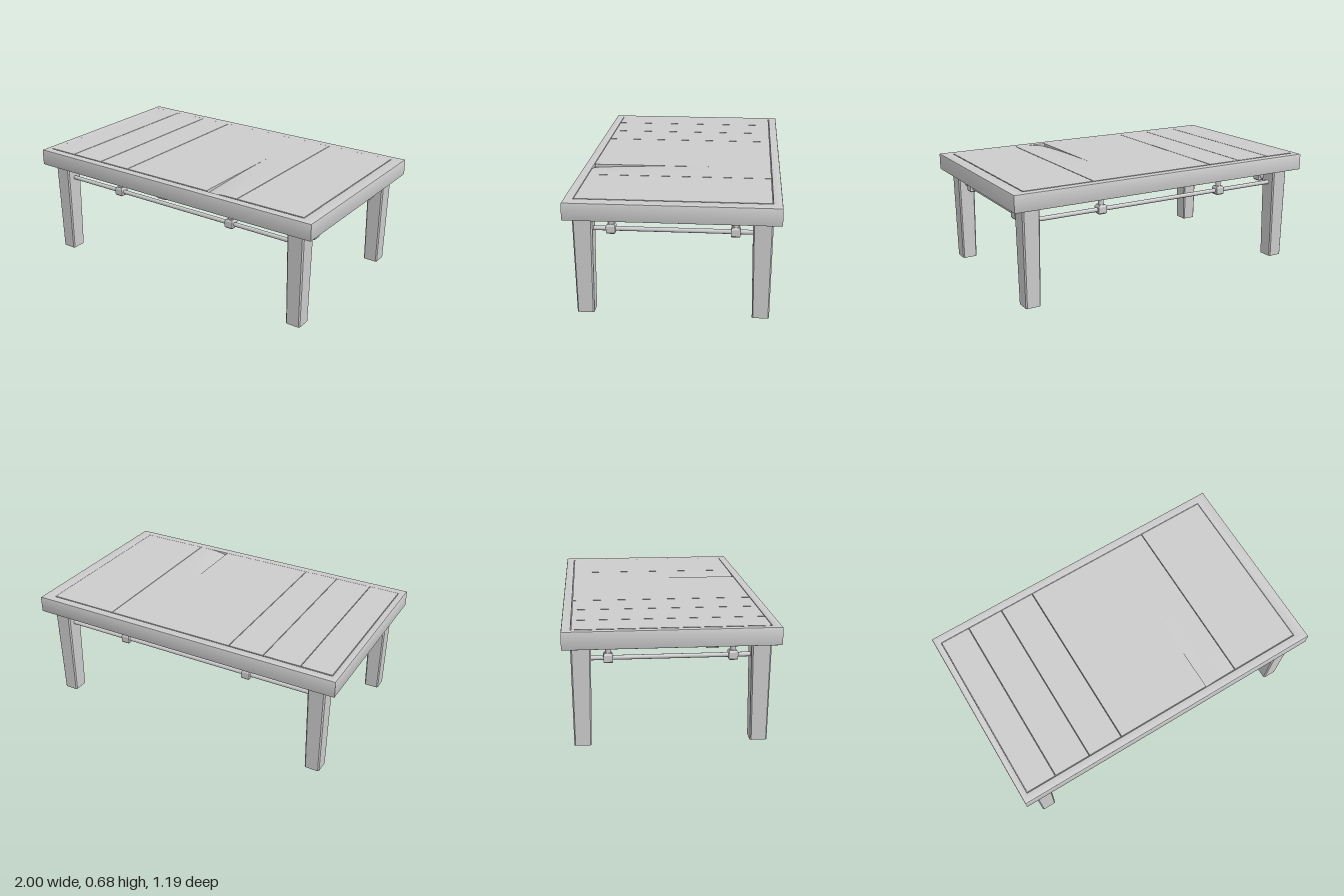
import * as THREE from 'three';
import { toCreasedNormals } from 'three/addons/utils/BufferGeometryUtils.js';

const material = new THREE.MeshStandardMaterial({ color: 0xcccccc });
const TOP = 0.683, BOTTOM = 0.58;

function add(parent, name, geometry, x = 0, y = 0, z = 0) {
  const mesh = new THREE.Mesh(geometry, material);
  mesh.name = name;
  mesh.position.set(x, y, z);
  parent.add(mesh);
  return mesh;
}

function rectangle(path, x0, x1, z0, z1) {
  path.moveTo(x0, z0);
  path.lineTo(x1, z0);
  path.lineTo(x1, z1);
  path.lineTo(x0, z1);
  path.closePath();
  return path;
}

// Bevelled frame around the planks
function frameGeometry() {
  const bevel = 0.006;
  const shape = rectangle(new THREE.Shape(), -1, 1, -0.595, 0.595);
  shape.holes.push(rectangle(new THREE.Path(), -0.96, 0.925, -0.543, 0.543));
  const geometry = new THREE.ExtrudeGeometry(shape, {
    depth: TOP - BOTTOM - 2 * bevel, bevelThickness: bevel, bevelSize: bevel,
    bevelOffset: -bevel, bevelSegments: 2,
  });
  geometry.rotateX(-Math.PI / 2);
  geometry.translate(0, BOTTOM + bevel, 0);
  return toCreasedNormals(geometry, 0.5);
}

// Plank whose front left corner sinks in a shallow hollow
function sunkenPlank(width, height, depth) {
  const geometry = new THREE.BoxGeometry(width, height, depth, 12, 1, 24);
  const p = geometry.attributes.position;
  for (let i = 0; i < p.count; i++) {
    if (p.getY(i) < 0) continue;
    const u = (p.getX(i) + width / 2) / width;
    const v = p.getZ(i) / depth + 0.5;
    const along = Math.max(0, (v - 0.35) / 0.65);
    const across = Math.max(0, 1 - u / 0.7);
    p.setY(i, p.getY(i) - 0.02 * along * along * across * across);
  }
  return toCreasedNormals(geometry, 0.6);
}

// Chamfered square post that narrows towards the floor
function legGeometry() {
  const w = 0.053, d = 0.056, c = 0.008;
  const shape = new THREE.Shape([
    [w - c, -d], [w, c - d], [w, d - c], [w - c, d],
    [c - w, d], [-w, d - c], [-w, c - d], [c - w, -d],
  ].map(([x, y]) => new THREE.Vector2(x, y)));
  const geometry = new THREE.ExtrudeGeometry(shape, { depth: BOTTOM + 0.005, bevelEnabled: false });
  geometry.rotateX(-Math.PI / 2);
  const p = geometry.attributes.position;
  for (let i = 0; i < p.count; i++) {
    const s = 0.86 + 0.14 * p.getY(i) / BOTTOM;
    p.setX(i, p.getX(i) * s);
    p.setZ(i, p.getZ(i) * s);
  }
  geometry.computeVertexNormals();
  return geometry;
}

// Rod along x with two clamps hung from the table top
function railGroup(name, length, clampX) {
  const rail = new THREE.Group();
  rail.name = name;
  const rod = new THREE.CylinderGeometry(0.013, 0.013, length, 10);
  rod.rotateZ(Math.PI / 2);
  add(rail, 'rod', rod, 0, 0.498, 0);
  for (const side of [-1, 1]) {
    const x = side * clampX;
    add(rail, 'hanger', new THREE.CylinderGeometry(0.016, 0.016, 0.07, 10), x, 0.55, 0);
    add(rail, 'clampBlock', new THREE.BoxGeometry(0.052, 0.036, 0.052), x, 0.497, 0);
    // Tapered collars above and below the block
    const upper = new THREE.CylinderGeometry(0.028, 0.0367, 0.012, 4, 1);
    upper.rotateY(Math.PI / 4);
    add(rail, 'upperCollar', upper.toNonIndexed(), x, 0.521, 0).geometry.computeVertexNormals();
    const lower = new THREE.CylinderGeometry(0.0367, 0.03, 0.006, 4, 1);
    lower.rotateY(Math.PI / 4);
    add(rail, 'lowerCollar', lower.toNonIndexed(), x, 0.476, 0).geometry.computeVertexNormals();
  }
  return rail;
}

export function createModel() {
  const table = new THREE.Group();
  table.name = 'table';

  // Table top: frame, underside panel and planks
  add(table, 'topFrame', frameGeometry());
  add(table, 'undersidePanel', new THREE.BoxGeometry(1.9, 0.06, 1.1), -0.0175, BOTTOM + 0.03, 0);
  const seams = [-0.96, -0.77, -0.54, -0.32, 0.28, 0.49, 0.925];
  const height = TOP - 0.63;
  for (let i = 0; i < seams.length - 1; i++) {
    const start = seams[i] + (i === 4 ? 0 : 0.002);
    const end = seams[i + 1] - (i === 3 ? 0 : 0.002);
    const width = end - start;
    const geometry = i === 4
      ? sunkenPlank(width, height, 1.08)
      : new THREE.BoxGeometry(width, height, 1.08);
    add(table, 'plank', geometry, (start + end) / 2, 0.63 + height / 2, 0);
  }

  // Legs
  const leg = legGeometry();
  for (const x of [-0.875, 0.881])
    for (const z of [-0.493, 0.497]) add(table, 'leg', leg, x, 0, z);

  // Rails between the legs
  for (const side of [-1, 1]) {
    const long = railGroup(side > 0 ? 'frontRail' : 'backRail', 1.7, 0.42);
    long.position.z = side * 0.495;
    const short = railGroup(side > 0 ? 'leftRail' : 'rightRail', 0.92, 0.345);
    short.rotation.y = Math.PI / 2;
    short.position.x = side * 0.878;
    table.add(long, short);
  }
  return table;
}
